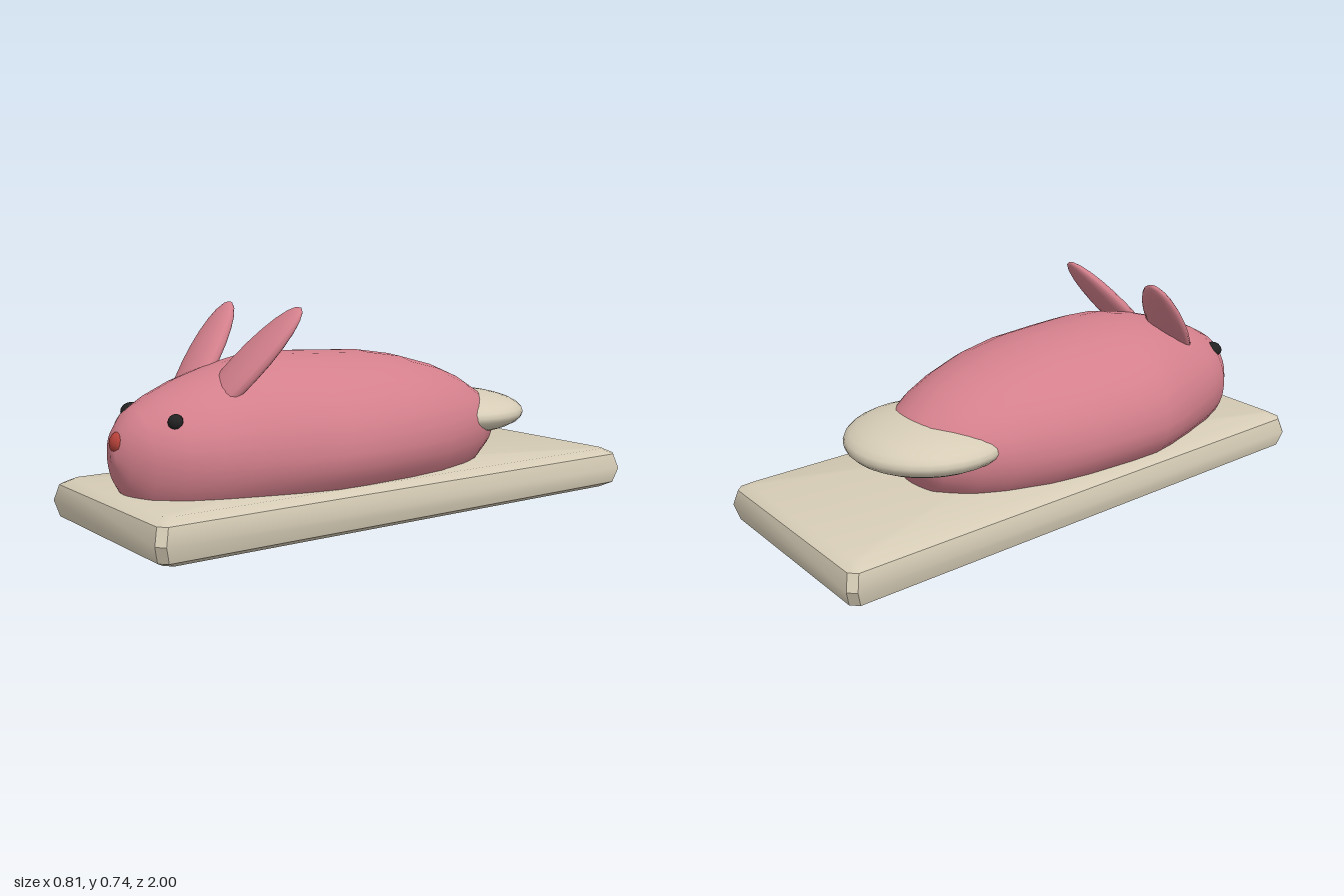
import * as THREE from 'three';
import { toCreasedNormals } from 'three/addons/utils/BufferGeometryUtils.js';

const material = (name, color) => {
  const m = new THREE.MeshStandardMaterial({ color });
  m.name = name;
  return m;
};

// Closed skin over a list of equal-length loops of Vector3
function loft(loops) {
  const n = loops[0].length;
  const points = loops.flat();
  const index = [];
  for (let i = 0; i < loops.length - 1; i++) {
    for (let j = 0; j < n; j++) {
      const a = i * n + j, b = i * n + (j + 1) % n;
      index.push(a, b, a + n, b, b + n, a + n);
    }
  }
  // End caps, fanned from the middle of the first and last loop
  [0, loops.length - 1].forEach((row, end) => {
    const centre = loops[row].reduce((s, p) => s.add(p), new THREE.Vector3()).divideScalar(n);
    const c = points.push(centre) - 1;
    for (let j = 0; j < n; j++) {
      const a = row * n + j, b = row * n + (j + 1) % n;
      if (end) index.push(c, a, b); else index.push(c, b, a);
    }
  });
  const g = new THREE.BufferGeometry().setFromPoints(points);
  g.setIndex(index);
  g.computeVertexNormals();
  return g;
}

// Slab with softened edges and clipped corners
function slabGeometry() {
  const levels = [[0, 0.05], [0.02, 0.015], [0.075, 0], [0.13, 0.015], [0.15, 0.05]];
  const loops = levels.map(([y, inset]) => {
    const x = 0.402 - inset, z = 1 - inset, c = 0.025;
    return [[x, z - c], [x, c - z], [x - c, -z], [c - x, -z], [-x, c - z], [-x, z - c], [c - x, z], [x - c, z]]
      .map(([px, pz]) => new THREE.Vector3(px, y, pz));
  });
  return toCreasedNormals(loft(loops), 0.7);
}

// Plump body: half-width, top and bottom at stations from tail end to nose end
function bodyGeometry() {
  const stations = [
    [-0.575, 0.02, 0.30, 0.26], [-0.56, 0.10, 0.34, 0.21], [-0.5, 0.19, 0.405, 0.13],
    [-0.4, 0.255, 0.46, 0.07], [-0.3, 0.30, 0.50, 0.04], [-0.15, 0.355, 0.54, 0.03],
    [0, 0.385, 0.563, 0.03], [0.2, 0.402, 0.572, 0.03], [0.32, 0.403, 0.577, 0.03],
    [0.42, 0.38, 0.576, 0.03], [0.55, 0.337, 0.55, 0.03], [0.7, 0.28, 0.505, 0.03],
    [0.8, 0.235, 0.463, 0.05], [0.88, 0.165, 0.42, 0.09], [0.93, 0.09, 0.37, 0.17],
    [0.95, 0.02, 0.30, 0.25],
  ];
  const sides = 32;
  const loops = stations.map(([z, w, top, bottom]) => {
    const mid = 0.27;
    return Array.from({ length: sides }, (_, j) => {
      const a = j / sides * Math.PI * 2, s = Math.sin(a);
      return new THREE.Vector3(w * Math.cos(a), mid + s * (s > 0 ? top - mid : mid - bottom), z);
    });
  });
  return loft(loops);
}

export function createModel() {
  const pink = material('pink', 0xd4808c);
  const cream = material('cream', 0xd6ccb6);
  const black = material('black', 0x222222);
  const red = material('red', 0xb8423a);
  const model = new THREE.Group();
  const add = (name, geometry, mat) => {
    const mesh = new THREE.Mesh(geometry, mat);
    mesh.name = name;
    model.add(mesh);
    return mesh;
  };
  const ball = (name, mat, centre, radii, w = 24, h = 16) => {
    const mesh = add(name, new THREE.SphereGeometry(1, w, h), mat);
    mesh.position.set(...centre);
    mesh.scale.set(...radii);
    return mesh;
  };

  add('baseSlab', slabGeometry(), cream);
  add('body', bodyGeometry(), pink);
  ball('tail', cream, [0, 0.305, -0.44], [0.29, 0.085, 0.29], 32, 16);
  ball('nose', red, [0, 0.318, 0.926], [0.04, 0.038, 0.033], 10, 8);
  ball('rightEye', black, [-0.155, 0.392, 0.81], [0.036, 0.029, 0.036], 10, 8);
  ball('leftEye', black, [0.165, 0.395, 0.814], [0.025, 0.025, 0.025], 10, 8);

  // Flat leaf-shaped ears leaning back and outwards
  for (const side of [1, -1]) {
    const up = new THREE.Vector3(0.316 * side, 0.724, -0.613).normalize();
    const face = new THREE.Vector3(0, 0.646, 0.763);
    const across = new THREE.Vector3().crossVectors(up, face).normalize();
    face.crossVectors(across, up);
    const ear = ball(side > 0 ? 'leftEar' : 'rightEar', pink,
      [0.145 * side, 0.54, 0.555], [0.095, 0.27, 0.036], 16, 12);
    ear.quaternion.setFromRotationMatrix(new THREE.Matrix4().makeBasis(across, up, face));
  }
  return model;
}
